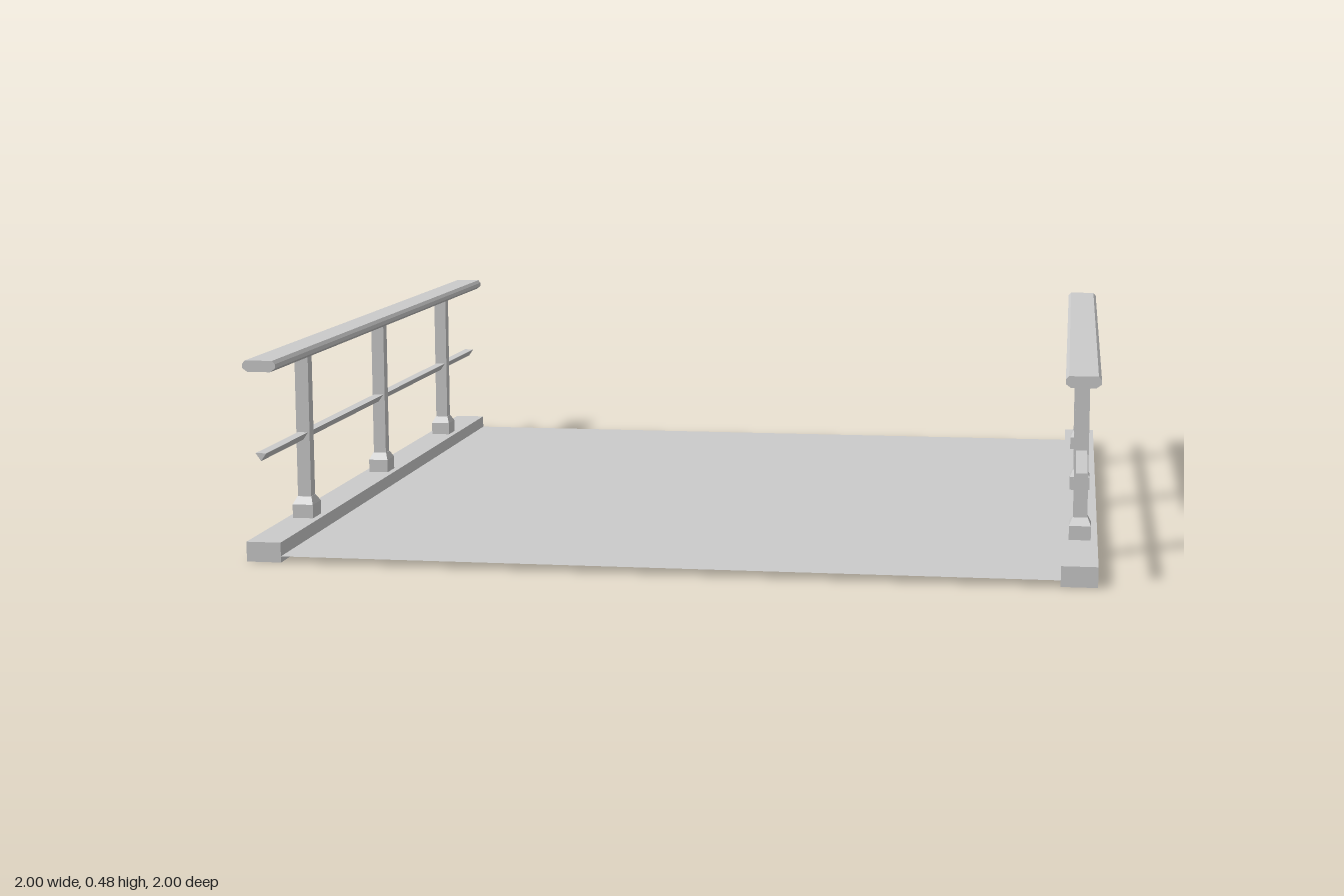
import * as THREE from 'three';

const material = new THREE.MeshStandardMaterial({ color: 0xcccccc, flatShading: true });

function addMesh(parent, name, geometry, x, y, z) {
  const mesh = new THREE.Mesh(geometry, material);
  mesh.name = name;
  mesh.position.set(x, y, z);
  parent.add(mesh);
  return mesh;
}

// Straight bar along z with a constant cross-section
function bar(points, length) {
  const shape = new THREE.Shape(points.map(([x, y]) => new THREE.Vector2(x, y)));
  return new THREE.ExtrudeGeometry(shape, { depth: length, bevelEnabled: false });
}

// Box whose upper face is narrowed to a given size
function taperedBox(w, h, d, topW, topD) {
  const geometry = new THREE.BoxGeometry(w, h, d);
  const p = geometry.attributes.position;
  for (let i = 0; i < p.count; i++) {
    if (p.getY(i) > 0) {
      p.setX(i, Math.sign(p.getX(i)) * topW / 2);
      p.setZ(i, Math.sign(p.getZ(i)) * topD / 2);
    }
  }
  geometry.computeVertexNormals();
  return geometry;
}

const handrailProfile = [
  [-0.028, 0.455], [0.028, 0.455], [0.04, 0.464], [0.04, 0.474],
  [0.033, 0.482], [-0.033, 0.482], [-0.04, 0.474], [-0.04, 0.464],
];
const midRailProfile = [[0, 0.243], [0.013, 0.262], [-0.013, 0.262]];

function createRailing(name, side, backEnd) {
  const railing = new THREE.Group();
  railing.name = name;
  railing.position.x = side * 0.958;

  addMesh(railing, 'curb', new THREE.BoxGeometry(0.084, 0.048, 2), 0, 0.024, 0);

  // Posts with stepped, tapered feet
  for (const z of [-0.667, 0, 0.667]) {
    const post = new THREE.Group();
    post.name = 'post';
    post.position.z = z;
    railing.add(post);
    addMesh(post, 'postFoot', new THREE.BoxGeometry(0.052, 0.034, 0.066), 0, 0.065, 0);
    addMesh(post, 'postFootTaper', taperedBox(0.052, 0.018, 0.066, 0.036, 0.034), 0, 0.091, 0);
    addMesh(post, 'postShaft', new THREE.BoxGeometry(0.034, 0.36, 0.032), 0, 0.278, 0);
  }

  // Rails run from the back end to the front edge
  addMesh(railing, 'handrail', bar(handrailProfile, 1 - backEnd), 0, 0, backEnd);
  addMesh(railing, 'midRail', bar(midRailProfile, 1 - backEnd), 0, 0, backEnd);
  return railing;
}

export function createModel() {
  const model = new THREE.Group();
  model.name = 'walkway';

  // Thin deck between the curbs
  const deck = addMesh(model, 'deck', new THREE.PlaneGeometry(1.84, 2), 0, 0.015, 0);
  deck.rotation.x = -Math.PI / 2;
  deck.material = material.clone();
  deck.material.side = THREE.DoubleSide;

  // The left railing stops short of the back edge
  model.add(createRailing('leftRailing', 1, -0.875));
  model.add(createRailing('rightRailing', -1, -1));
  return model;
}
